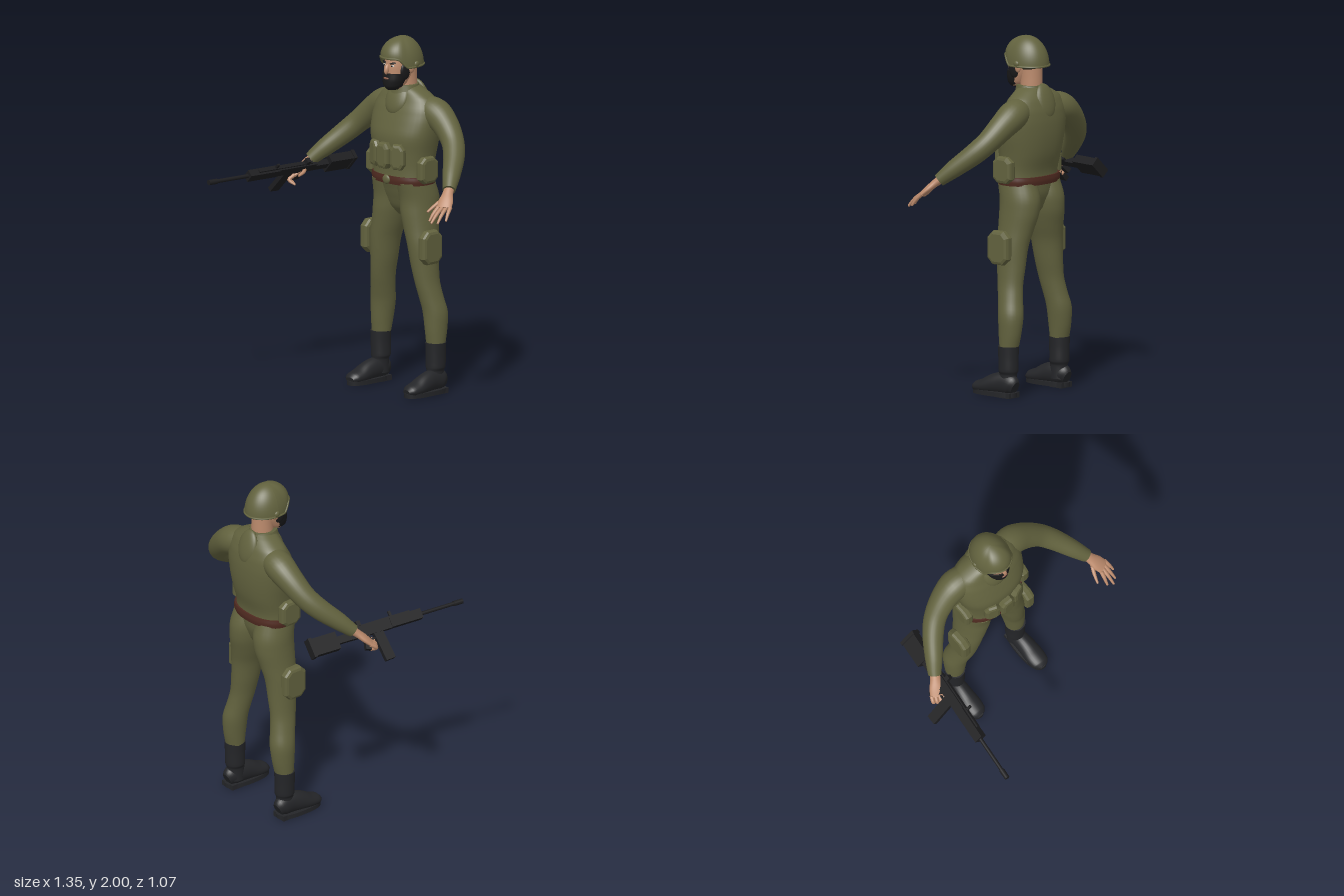
import * as THREE from 'three';

const mat = (name, hex) => Object.assign(new THREE.MeshStandardMaterial({ color: hex }), { name });
const olive = mat('olive cloth', 0x62623e);
const skin = mat('skin', 0xbb8a6c);
const leather = mat('brown leather', 0x4f2a20);
const black = mat('boot black', 0x242528);
const gunmetal = mat('gunmetal', 0x1d1d1f);
const hairDark = mat('dark hair', 0x19191a);
const white = mat('eye white', 0xd8d4cc);
const lip = mat('lip', 0x8a5a48);

const V = (x, y, z) => new THREE.Vector3(x, y, z);

function add(parent, name, geo, material, x = 0, y = 0, z = 0) {
  const m = new THREE.Mesh(geo, material);
  m.name = name;
  m.position.set(x, y, z);
  parent.add(m);
  return m;
}

// Smooth body through sections [x, y, z, a, b]: a is the radius along ref, b the one across it.
// Sections lie level when level is true, otherwise square to the path. n > 2 makes them boxier.
function loft(secs, { level = true, ref = V(0, 0, 1), n = 2, steps = 4, sides = 28 } = {}) {
  const path = new THREE.CatmullRomCurve3(secs.map(s => V(s[0], s[1], s[2])));
  const size = new THREE.CatmullRomCurve3(secs.map(s => V(s[3], s[4], 0)));
  const rows = (secs.length - 1) * steps, pos = [], idx = [];
  const pw = c => Math.sign(c) * Math.abs(c) ** (2 / n);
  for (let i = 0; i <= rows; i++) {
    const c = path.getPoint(i / rows), r = size.getPoint(i / rows);
    const t = level ? V(0, 1, 0) : path.getTangent(i / rows);
    const u = ref.clone().addScaledVector(t, -ref.dot(t)).normalize();
    const v = t.clone().cross(u);
    for (let j = 0; j < sides; j++) {
      const q = j / sides * Math.PI * 2;
      pos.push(...c.clone().addScaledVector(u, r.x * pw(Math.cos(q))).addScaledVector(v, r.y * pw(Math.sin(q))));
    }
  }
  for (let i = 0; i < rows; i++) for (let j = 0; j < sides; j++) {
    const a = i * sides + j, b = i * sides + (j + 1) % sides;
    idx.push(a, b, a + sides, b, b + sides, a + sides);
  }
  // separate end caps keep their rims crisp
  for (const end of [0, 1]) {
    const start = pos.length / 3, row = end * rows * sides * 3;
    pos.push(...pos.slice(row, row + sides * 3), ...path.getPoint(end));
    for (let j = 0; j < sides; j++) {
      const a = start + j, b = start + (j + 1) % sides;
      idx.push(...(end ? [a, b, start + sides] : [b, a, start + sides]));
    }
  }
  const g = new THREE.BufferGeometry();
  g.setAttribute('position', new THREE.Float32BufferAttribute(pos, 3));
  g.setIndex(idx);
  g.computeVertexNormals();
  return g;
}

const ball = (rx, ry, rz) => new THREE.SphereGeometry(1, 24, 16).scale(rx, ry, rz);
const box = (w, h, d) => new THREE.BoxGeometry(w, h, d);

// Eight-cornered pouch with bevelled edges, facing +z
function pouch(w, h, d) {
  const e = 0.018, x = w / 2 - e, y = h / 2 - e, cx = x * 0.55, cy = y * 0.68;
  const pts = [[cx, -y], [x, -cy], [x, cy], [cx, y], [-cx, y], [-x, cy], [-x, -cy], [-cx, -y]];
  const s = new THREE.Shape(pts.map(p => new THREE.Vector2(...p)));
  return new THREE.ExtrudeGeometry(s, { depth: d - e, bevelSize: e, bevelThickness: e, bevelSegments: 2 });
}

function buildHead(body) {
  const head = new THREE.Group();
  head.name = 'head';
  body.add(head);
  add(head, 'neck', loft([[0, 1.68, -0.39, 0.062, 0.062], [0, 1.76, -0.39, 0.062, 0.06], [0, 1.85, -0.38, 0.07, 0.064]]), skin);
  add(head, 'face', loft([[0, 1.715, -0.3, 0.045, 0.04], [0, 1.74, -0.31, 0.066, 0.057], [0, 1.79, -0.33, 0.085, 0.069],
    [0, 1.85, -0.342, 0.094, 0.075], [0, 1.92, -0.352, 0.09, 0.075]]), skin);
  add(head, 'beard', loft([[0, 1.708, -0.288, 0.036, 0.03], [0, 1.73, -0.295, 0.06, 0.054], [0, 1.765, -0.3, 0.066, 0.068],
    [0, 1.803, -0.306, 0.066, 0.075]]), hairDark);
  add(head, 'mouth', ball(0.02, 0.006, 0.006), lip, 0, 1.776, -0.235);
  const nose = add(head, 'nose', ball(0.013, 0.03, 0.016), skin, 0, 1.827, -0.242);
  nose.rotation.x = -0.3;
  add(head, 'hair', ball(0.076, 0.055, 0.075), hairDark, 0, 1.85, -0.384);
  for (const s of [-1, 1]) {
    add(head, 'sideburn', ball(0.014, 0.05, 0.034), hairDark, s * 0.066, 1.815, -0.32);
    add(head, 'ear', ball(0.012, 0.03, 0.02), skin, s * 0.078, 1.83, -0.358);
    add(head, 'eye', ball(0.012, 0.006, 0.006), white, s * 0.031, 1.847, -0.256);
    add(head, 'pupil', ball(0.005, 0.005, 0.004), hairDark, s * 0.03, 1.847, -0.251);
    const brow = add(head, 'eyebrow', ball(0.02, 0.005, 0.007), hairDark, s * 0.033, 1.862, -0.256);
    brow.rotation.set(0, s * 0.35, s * 0.2);
    add(head, 'helmetStud', ball(0.012, 0.018, 0.018), olive, s * 0.104, 1.853, -0.37);
  }
  // helmet dome, its edge lifted over the face
  const edge = f => 1.838 + 0.052 * THREE.MathUtils.smoothstep(f, 0.35, 0.8);
  const dome = new THREE.SphereGeometry(1, 48, 16, 0, Math.PI * 2, 0, Math.PI / 2), p = dome.attributes.position;
  for (let i = 0; i < p.count; i++) {
    const x = p.getX(i), y = p.getY(i), z = p.getZ(i), low = edge(z / (Math.hypot(x, z) || 1));
    p.setXYZ(i, x * 0.108, low + (2 - low) * y, z * 0.132);
  }
  dome.computeVertexNormals();
  const shell = olive.clone();
  shell.name = 'olive helmet';
  shell.side = THREE.DoubleSide;
  add(head, 'helmet', dome, shell, 0, 0, -0.36);
  const ring = Array.from({ length: 32 }, (_, i) => {
    const q = i / 32 * Math.PI * 2;
    return V(Math.sin(q) * 0.108, edge(Math.cos(q)), Math.cos(q) * 0.132);
  });
  add(head, 'helmetRim', new THREE.TubeGeometry(new THREE.CatmullRomCurve3(ring, true), 64, 0.006, 8, true), olive, 0, 0, -0.36);
}

function buildTorso(body) {
  add(body, 'vest', loft([[0, 1.18, -0.367, 0.125, 0.188], [0, 1.25, -0.37, 0.126, 0.185], [0, 1.35, -0.38, 0.142, 0.195],
    [0, 1.45, -0.384, 0.15, 0.214], [0, 1.53, -0.396, 0.138, 0.222], [0, 1.6, -0.405, 0.12, 0.215],
    [0, 1.66, -0.408, 0.095, 0.18], [0, 1.7, -0.4, 0.075, 0.115], [0, 1.72, -0.395, 0.06, 0.075]], { n: 2.3, sides: 40 }), olive);
  add(body, 'collar', loft([[0, 1.65, -0.39, 0.1, 0.108], [0, 1.69, -0.385, 0.085, 0.09], [0, 1.728, -0.382, 0.076, 0.077]]), olive);
  add(body, 'frontBib', ball(0.08, 0.095, 0.035), olive, 0, 1.65, -0.322).rotation.x = -0.42;
  add(body, 'backBib', ball(0.07, 0.1, 0.03), olive, 0, 1.645, -0.493).rotation.x = 0.28;
  add(body, 'pelvis', loft([[0, 0.985, -0.38, 0.03, 0.03], [0, 1.04, -0.38, 0.075, 0.12], [0, 1.12, -0.38, 0.105, 0.18],
    [0, 1.2, -0.37, 0.122, 0.188]]), olive);
  add(body, 'belt', loft([[0, 1.18, -0.372, 0.132, 0.196], [0, 1.203, -0.372, 0.135, 0.199], [0, 1.226, -0.372, 0.132, 0.196]],
    { n: 2.3, sides: 40 }), leather);
  add(body, 'buckle', ball(0.028, 0.026, 0.012), olive, 0, 1.203, -0.238);
  for (const s of [-1, 0, 1]) {
    add(body, 'frontPouch', pouch(0.09, 0.145, 0.045), olive, s * 0.081, 1.342, s ? -0.26 : -0.238).rotation.y = s * 0.35;
  }
}

// One side of the body; s is +1 for its left and -1 for its right
function buildSide(body, s) {
  const flip = secs => secs.map(([x, ...r]) => [x * s, ...r]);
  add(body, 'sleeve', loft(flip([[0.12, 1.6, -0.415, 0.075, 0.075], [0.2, 1.58, -0.427, 0.084, 0.083], [0.28, 1.53, -0.42, 0.075, 0.075],
    [0.37, 1.45, -0.39, 0.064, 0.064], [0.43, 1.385, -0.34, 0.06, 0.06], [0.5, 1.3, -0.25, 0.05, 0.05],
    [0.547, 1.238, -0.186, 0.036, 0.038]]), { level: false }), olive);
  add(body, 'trouserLeg', loft(flip([[0.215, 0.27, -0.41, 0.052, 0.053], [0.212, 0.36, -0.415, 0.066, 0.06], [0.205, 0.46, -0.415, 0.073, 0.067],
    [0.19, 0.54, -0.4, 0.073, 0.064], [0.175, 0.62, -0.386, 0.076, 0.063], [0.16, 0.72, -0.38, 0.085, 0.07],
    [0.146, 0.84, -0.378, 0.096, 0.079], [0.125, 0.93, -0.385, 0.108, 0.088], [0.108, 1.02, -0.393, 0.121, 0.097],
    [0.1, 1.1, -0.393, 0.123, 0.1], [0.095, 1.19, -0.37, 0.12, 0.094]])), olive);
  add(body, 'hipPouch', pouch(0.13, 0.15, 0.04), olive, s * 0.188, 1.268, -0.36).rotation.y = s * Math.PI / 2;
  add(body, 'thighPouch', pouch(0.145, 0.19, 0.042), olive, s * 0.217, 0.835, -0.355).rotation.y = s * Math.PI / 2;

  // boot
  add(body, 'bootShaft', loft(flip([[0.217, 0.05, -0.405, 0.052, 0.046], [0.216, 0.125, -0.405, 0.052, 0.043], [0.216, 0.15, -0.408, 0.057, 0.054],
    [0.217, 0.22, -0.408, 0.058, 0.054], [0.217, 0.287, -0.408, 0.06, 0.057]])), black);
  add(body, 'bootFoot', loft(flip([[0.222, 0.055, -0.46, 0.04, 0.03], [0.222, 0.07, -0.43, 0.06, 0.046], [0.222, 0.075, -0.37, 0.062, 0.048],
    [0.225, 0.066, -0.31, 0.056, 0.052], [0.226, 0.05, -0.25, 0.042, 0.056], [0.226, 0.042, -0.2, 0.032, 0.05],
    [0.224, 0.036, -0.175, 0.016, 0.028]]), { level: false, ref: V(0, 1, 0) }), black);
  add(body, 'bootSole', loft(flip([[0.226, 0.005, -0.318, 0.147, 0.058], [0.226, 0.03, -0.318, 0.148, 0.058]]), { n: 2.5 }), black);
  add(body, 'bootHeel', box(0.09, 0.03, 0.09), black, s * 0.224, 0.015, -0.412);

  // hand: the left is spread, the right closes on the grip
  const hand = new THREE.Group();
  hand.name = s > 0 ? 'leftHand' : 'rightHand';
  body.add(hand);
  const ref = V(s, 0, -0.6);
  add(hand, 'palm', loft(flip([[0.538, 1.25, -0.2, 0.028, 0.026], [0.556, 1.222, -0.168, 0.03, 0.022], [0.578, 1.185, -0.13, 0.042, 0.019],
    [0.595, 1.155, -0.1, 0.042, 0.015]]), { level: false, ref }), skin);
  const finger = (name, pts) => {
    const radii = [0.012, 0.0105, 0.006];
    add(hand, name, loft(flip(pts.map((p, i) => [...p, radii[i], radii[i]])), { level: false, ref: V(1, 0, 0.3), sides: 10 }), skin);
  };
  const tips = [[0.56, 1.09, -0.02], [0.592, 1.084, -0.003], [0.62, 1.084, -0.025], [0.642, 1.095, -0.068]];
  tips.forEach((tip, i) => {
    const base = [0.568 + i * 0.018, 1.16, -0.083 - i * 0.013];
    const open = [base, base.map((b, k) => (b + tip[k]) / 2 + (k === 1 ? 0.006 : 0)), tip];
    const [x, y, z] = base;
    finger('finger', s > 0 ? open : [base, [x + 0.012, y - 0.025, z + 0.03], [x - 0.025, y - 0.05, z + 0.018]]);
  });
  finger('thumb', s > 0 ? [[0.55, 1.198, -0.145], [0.53, 1.165, -0.1], [0.515, 1.13, -0.05]]
    : [[0.55, 1.198, -0.145], [0.522, 1.18, -0.11], [0.515, 1.165, -0.065]]);
}

// Rifle along local +z, tipped over on its side
function buildRifle(root) {
  const rifle = new THREE.Group();
  rifle.name = 'rifle';
  rifle.position.set(-0.525, 1.205, 0);
  rifle.rotation.set(0, -0.125, -Math.PI / 4, 'YXZ');
  root.add(rifle);
  const rod = (name, r, z0, z1, y = 0) =>
    add(rifle, name, new THREE.CylinderGeometry(r, r, z1 - z0, 16).rotateX(Math.PI / 2), gunmetal, 0, y, (z0 + z1) / 2);
  const block = (name, w, h, z0, z1, y = 0) => add(rifle, name, box(w, h, z1 - z0), gunmetal, 0, y, (z0 + z1) / 2);
  rod('barrel', 0.011, 0.25, 0.5);
  rod('muzzle', 0.015, 0.478, 0.535);
  block('handguard', 0.042, 0.056, 0.06, 0.262);
  block('receiver', 0.034, 0.06, -0.2, 0.06);
  block('topRail', 0.018, 0.012, -0.17, 0.2, 0.032);
  block('stockNeck', 0.034, 0.042, -0.3, -0.2, -0.008);
  block('stock', 0.05, 0.1, -0.45, -0.29, -0.008);
  block('buttPlate', 0.056, 0.112, -0.465, -0.445, -0.008);
  block('rearSight', 0.03, 0.03, -0.14, -0.115, 0.05);
  block('frontSight', 0.012, 0.036, 0.075, 0.09, 0.05);
  block('magazine', 0.028, 0.17, -0.055, 0.005, -0.11).rotation.x = -0.06;
  block('grip', 0.028, 0.09, -0.13, -0.095, -0.065).rotation.x = 0.3;
  block('triggerGuard', 0.012, 0.008, -0.1, -0.05, -0.055);
}

export function createModel() {
  const root = new THREE.Group();
  root.name = 'soldier';
  const body = new THREE.Group();
  body.name = 'body';
  body.position.x = 0.03;
  root.add(body);
  buildHead(body);
  buildTorso(body);
  for (const s of [-1, 1]) buildSide(body, s);
  buildRifle(root);
  return root;
}
